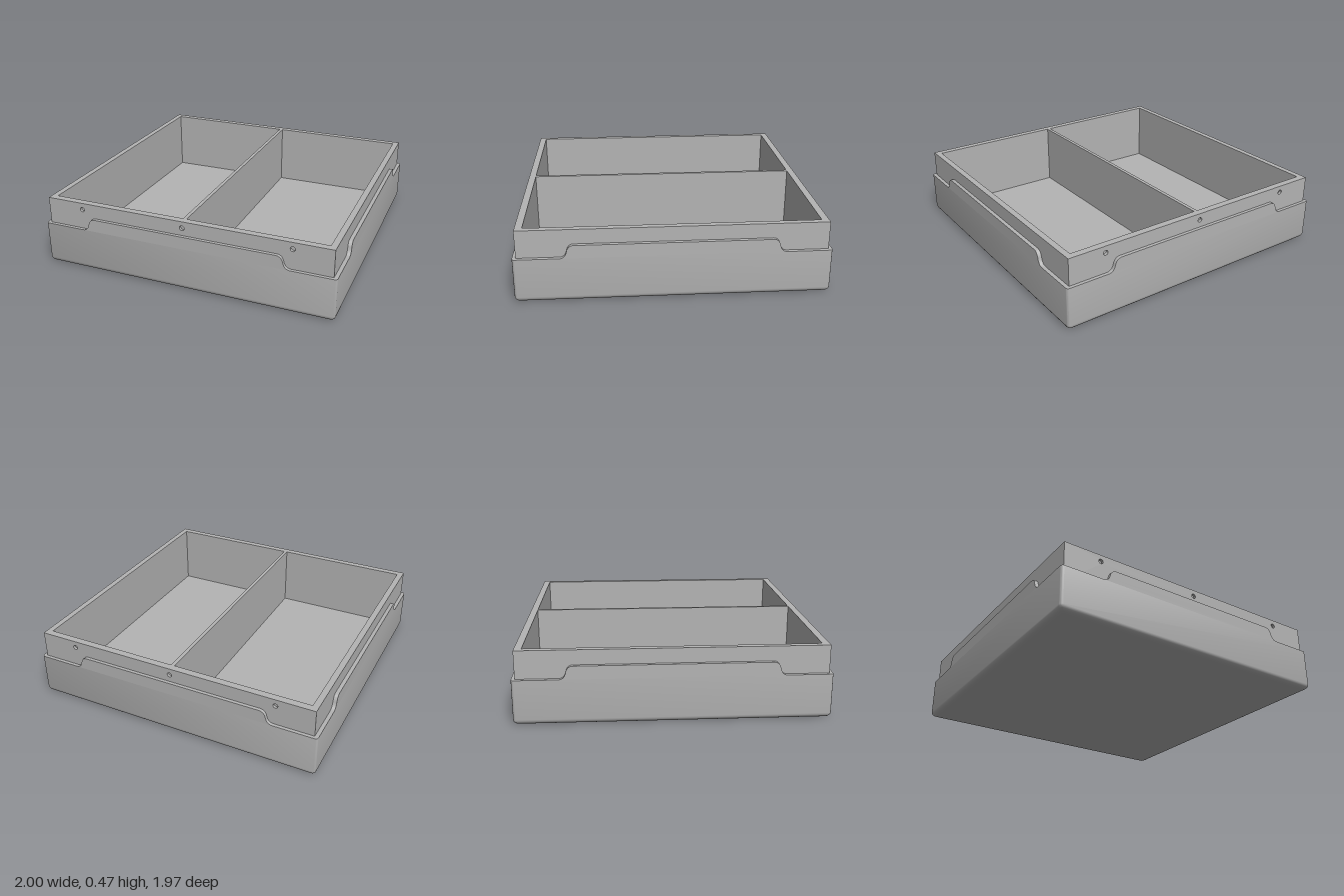
import * as THREE from 'three';
import { toCreasedNormals } from 'three/addons/utils/BufferGeometryUtils.js';

const HX = 1, HZ = 0.985;          // outer half sizes
const IX = 0.975, IZ = 0.963;      // raised insert half sizes
const LEDGE = 0.29, LIP = 0.375, TOP = 0.47, FLOOR = 0.035;

function mesh(name, geometry, material) {
  const m = new THREE.Mesh(geometry, material);
  m.name = name;
  return m;
}

// Skin through rounded rectangles, each given as [half x, half z, corner radius, y]
function loft(rings, seg = 4) {
  const pos = [], idx = [], n = 4 * (seg + 1);
  for (const [hx, hz, r, y] of rings) {
    for (let q = 0; q < 4; q++) {
      const sx = q === 0 || q === 3 ? 1 : -1, sz = q < 2 ? 1 : -1;
      for (let s = 0; s <= seg; s++) {
        const a = (q + s / seg) * Math.PI / 2;
        pos.push(sx * (hx - r) + r * Math.cos(a), y, sz * (hz - r) + r * Math.sin(a));
      }
    }
  }
  for (let i = 0; i < rings.length - 1; i++) {
    for (let j = 0; j < n; j++) {
      const a = i * n + j, b = i * n + (j + 1) % n;
      idx.push(a, a + n, b, b, a + n, b + n);
    }
  }
  const g = new THREE.BufferGeometry();
  g.setAttribute('position', new THREE.Float32BufferAttribute(pos, 3));
  g.setIndex(idx);
  return toCreasedNormals(g, 0.7);
}

function rect(target, x0, y0, x1, y1) {
  target.moveTo(x0, y0);
  target.lineTo(x1, y0);
  target.lineTo(x1, y1);
  target.lineTo(x0, y1);
  target.closePath();
  return target;
}

// Raised lip with S-shaped ends, from half width "low" at the ledge to "high" at the top
function lipGeometry(low, high, depth) {
  const s = new THREE.Shape(), mid = (low + high) / 2, my = (LEDGE + LIP) / 2;
  const k = (low - high) * 0.1;
  s.moveTo(-low, LEDGE);
  s.lineTo(low, LEDGE);
  s.quadraticCurveTo(mid + k, LEDGE, mid, my);
  s.quadraticCurveTo(mid - k, LIP, high, LIP);
  s.lineTo(-high, LIP);
  s.quadraticCurveTo(-mid + k, LIP, -mid, my);
  s.quadraticCurveTo(-mid - k, LEDGE, -low, LEDGE);
  const g = new THREE.ExtrudeGeometry(s, { depth, bevelEnabled: false, curveSegments: 8 });
  return toCreasedNormals(g, 0.7);
}

export function createModel() {
  const group = new THREE.Group();
  group.name = 'dividedTray';
  const grey = new THREE.MeshStandardMaterial({ color: 0xb4b4b4 });
  grey.name = 'grey';

  // Outer base with rounded bottom edge and a ledge on top
  const R = 0.035, rings = [[0, 0, 0, 0]];
  for (let i = 0; i <= 5; i++) {
    const a = i / 5 * Math.PI / 2, inset = R * (1 - Math.sin(a));
    rings.push([HX - inset, HZ - inset, 0.018, R * (1 - Math.cos(a))]);
  }
  rings.push([HX, HZ, 0.018, LEDGE], [IX - 0.005, IZ - 0.005, 0.001, LEDGE]);
  group.add(mesh('base', loft(rings), grey));

  // Insert walls around two compartments, with the divider between them
  const plate = 0.018, wz = IZ - plate;
  const walls = rect(new THREE.Shape(), -IX, -wz, IX, wz);
  for (const [x0, x1] of [[-0.935, -0.012], [0.012, 0.935]]) {
    walls.holes.push(rect(new THREE.Path(), x0, -0.917, x1, 0.917));
  }
  const wallGeometry = new THREE.ExtrudeGeometry(walls, { depth: TOP - FLOOR, bevelEnabled: false });
  wallGeometry.rotateX(-Math.PI / 2).translate(0, FLOOR, 0);
  group.add(mesh('compartmentWalls', wallGeometry, grey));

  // Compartment floor
  const floor = mesh('compartmentFloor', new THREE.BoxGeometry(1.9, 0.02, 1.86), grey);
  floor.position.y = FLOOR - 0.01;
  group.add(floor);

  // Front and back face plates with three shallow holes each
  const face = rect(new THREE.Shape(), -IX, 0.2, IX, TOP);
  for (const x of [-0.72, 0, 0.72]) {
    const hole = new THREE.Path();
    hole.absarc(x, 0.425, 0.016, 0, Math.PI * 2, true);
    face.holes.push(hole);
  }
  const faceGeometry = toCreasedNormals(
    new THREE.ExtrudeGeometry(face, { depth: plate, bevelEnabled: false, curveSegments: 20 }), 0.7);

  // Lips on all four sides
  const longLip = lipGeometry(0.715, 0.62, HZ - IZ + 0.005);
  const sideLip = lipGeometry(0.7, 0.61, HX - IX + 0.005);
  for (const [side, angle] of [['front', 0], ['back', Math.PI]]) {
    const pivot = new THREE.Group();
    pivot.name = side + 'Side';
    pivot.rotation.y = angle;
    const holes = mesh(side + 'FacePlate', faceGeometry, grey);
    holes.position.z = wz;
    const lip = mesh(side + 'Lip', longLip, grey);
    lip.position.z = IZ - 0.005;
    pivot.add(holes, lip);
    group.add(pivot);
  }
  for (const [side, angle] of [['left', Math.PI / 2], ['right', -Math.PI / 2]]) {
    const lip = mesh(side + 'Lip', sideLip, grey);
    lip.rotation.y = angle;
    lip.position.x = Math.sign(angle) * (IX - 0.005);
    group.add(lip);
  }
  return group;
}
